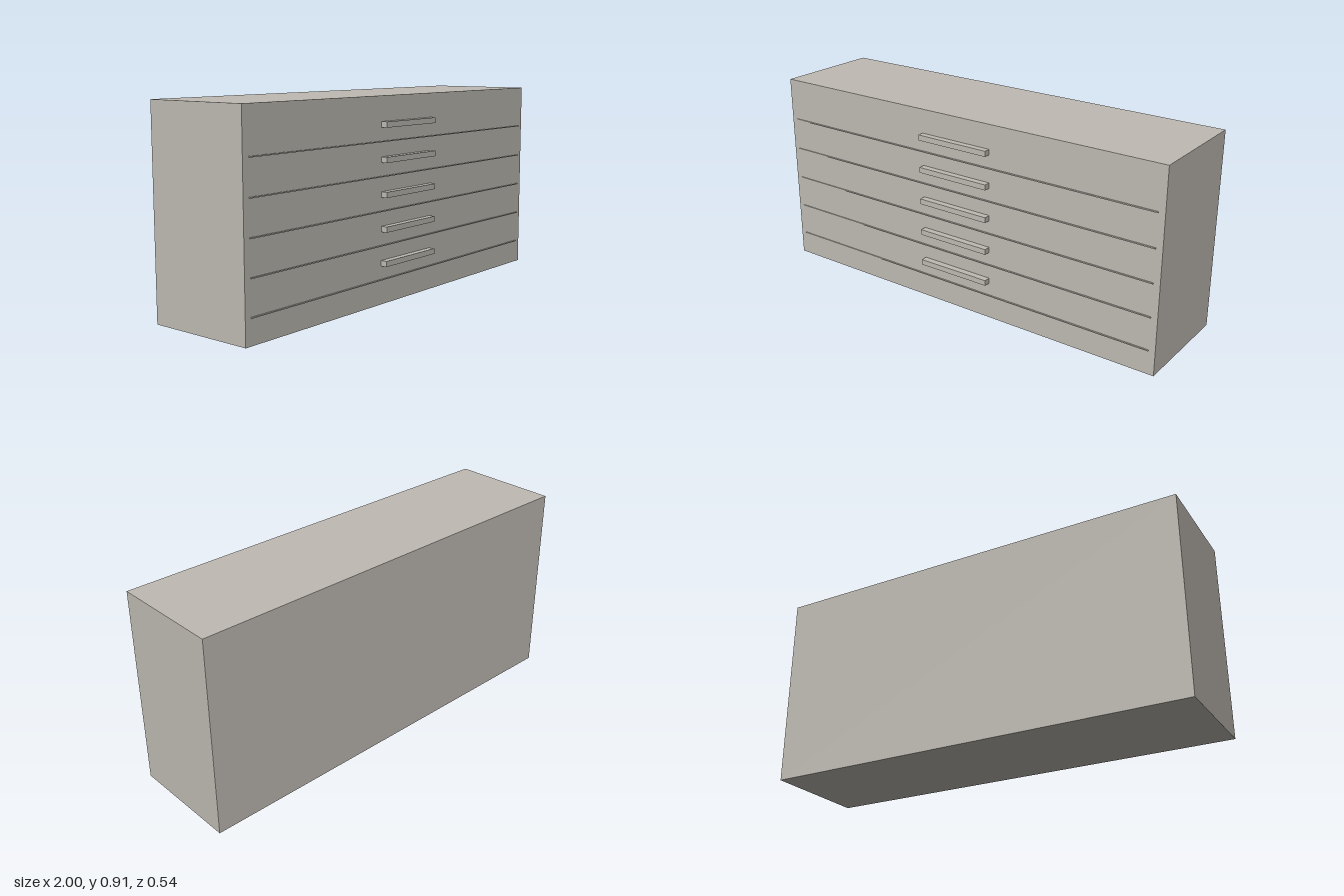
import * as THREE from 'three';

export function createModel() {
  const model = new THREE.Group();
  model.name = 'drawerCabinet';
  const paint = new THREE.MeshStandardMaterial({ name: 'warm grey paint', color: 0xbfbbb3 });

  const frontZ = 0.24;
  const backZ = -0.27;
  const height = 0.91;

  // Box placed by its bottom edge and back face
  function addBox(name, width, tall, deep, bottom, back) {
    const mesh = new THREE.Mesh(new THREE.BoxGeometry(width, tall, deep), paint);
    mesh.name = name;
    mesh.position.set(0, bottom + tall / 2, back + deep / 2);
    model.add(mesh);
  }

  // Plain carcass
  addBox('cabinetBody', 2, height, frontZ - backZ, 0, backZ);

  // Five drawers, each with a bar handle and a thin seam strip below it
  for (let i = 0; i < 5; i++) {
    const y = i * 0.151;
    addBox('drawerHandle' + (i + 1), 0.36, 0.025, 0.03, 0.171 + y, frontZ);
    addBox('drawerSeam' + (i + 1), 1.94, 0.005, 0.005, 0.108 + y, frontZ);
  }

  return model;
}
